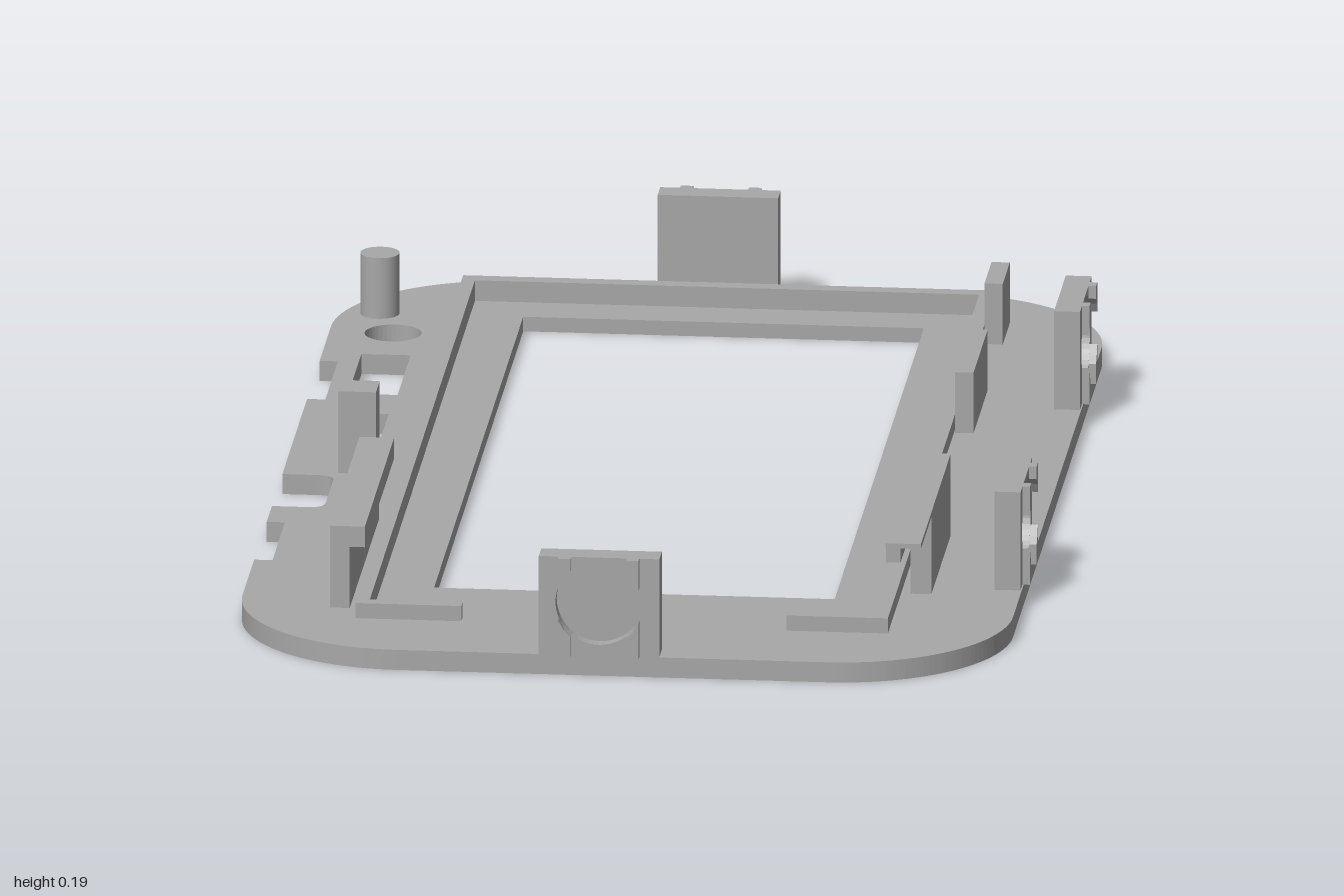
import * as THREE from 'three';

const grey = new THREE.MeshStandardMaterial({ color: 0xa8a8a8 });
grey.name = 'grey plastic';

const TOP = 0.033; // upper face of the plate

export function createModel() {
  const model = new THREE.Group();
  model.name = 'deviceBezel';

  const add = (name, geometry, parent = model) => {
    const mesh = new THREE.Mesh(geometry, grey);
    mesh.name = name;
    parent.add(mesh);
    return mesh;
  };

  // Box from its limits on each axis
  const block = (name, x0, x1, y0, y1, z0, z1, parent) => {
    const mesh = add(name, new THREE.BoxGeometry(x1 - x0, y1 - y0, z1 - z0), parent);
    mesh.position.set((x0 + x1) / 2, (y0 + y1) / 2, (z0 + z1) / 2);
    return mesh;
  };

  // Plate outlines are drawn in x and -z, then laid flat
  const rectHole = (x0, x1, z0, z1) => new THREE.Path([
    new THREE.Vector2(x0, -z0), new THREE.Vector2(x1, -z0),
    new THREE.Vector2(x1, -z1), new THREE.Vector2(x0, -z1),
  ]);
  const circleHole = (x, y, r) => new THREE.Path().absarc(x, y, r, 0, Math.PI * 2, true);

  const plateLayer = (name, y0, y1, opening) => {
    const L = -0.617, R = 0.604, E = 0.987, r = 0.27;
    const s = new THREE.Shape();
    s.moveTo(L + r, -E);
    s.lineTo(R - r, -E);
    s.absarc(R - r, -E + r, r, -Math.PI / 2, 0, false);
    s.lineTo(R, E - r);
    s.absarc(R - r, E - r, r, 0, Math.PI / 2, false);
    s.lineTo(L + r, E);
    s.absarc(L + r, E - r, r, Math.PI / 2, Math.PI, false);
    // side cut-outs, from the back to the front
    s.lineTo(L, 0.534); s.lineTo(-0.588, 0.534);
    s.lineTo(-0.588, 0.33); s.lineTo(L, 0.33);
    s.lineTo(L, -0.072); s.lineTo(-0.56, -0.072);
    s.quadraticCurveTo(-0.534, -0.072, -0.534, -0.098);
    s.lineTo(-0.534, -0.217);
    s.quadraticCurveTo(-0.534, -0.243, -0.56, -0.243);
    s.lineTo(L, -0.243);
    s.lineTo(L, -0.328); s.lineTo(-0.588, -0.328);
    s.lineTo(-0.588, -0.53); s.lineTo(L, -0.53);
    s.lineTo(L, -E + r);
    s.absarc(L + r, -E + r, r, Math.PI, Math.PI * 1.5, false);
    s.holes.push(
      opening,
      circleHole(-0.516, 0.693, 0.045),
      rectHole(-0.555, -0.477, -0.577, -0.365),
      rectHole(-0.545, -0.481, -0.262, -0.14),
    );
    const g = new THREE.ExtrudeGeometry(s, { depth: y1 - y0, bevelEnabled: false, curveSegments: 20 });
    g.rotateX(-Math.PI / 2);
    add(name, g).position.y = y0;
  };
  plateLayer('plate', 0, 0.024, rectHole(-0.323, 0.312, -0.828, 0.622));
  plateLayer('plateRim', 0.024, TOP, rectHole(-0.407, 0.392, -0.905, 0.804));

  // Low wall around the screen seat
  const wallTop = 0.058;
  block('seatWallRight', -0.428, -0.407, TOP, wallTop, -0.93, 0.825);
  block('seatWallLeft', 0.392, 0.416, TOP, wallTop, -0.93, 0.825);
  block('seatWallBack', -0.407, 0.392, TOP, wallTop, -0.93, -0.905);
  block('seatWallFrontRight', -0.407, -0.26, TOP, wallTop, 0.804, 0.825);
  block('seatWallFrontLeft', 0.255, 0.392, TOP, wallTop, 0.804, 0.825);

  // Tall retainers with an inward hook along the top
  block('rightRetainer', -0.473, -0.442, TOP, 0.168, 0.296, 0.772);
  block('rightRetainerHook', -0.442, -0.418, 0.134, 0.168, 0.296, 0.772);
  block('leftRetainer', 0.431, 0.464, TOP, 0.168, 0.296, 0.61);
  block('leftRetainerHook', 0.408, 0.431, 0.134, 0.16, 0.296, 0.772);
  block('leftRetainerLid', 0.408, 0.464, 0.16, 0.168, 0.296, 0.78);

  // Small supports and posts
  block('leftSupportBack', 0.418, 0.447, TOP, 0.133, -0.84, -0.725);
  block('leftSupportMiddle', 0.418, 0.447, TOP, 0.133, -0.48, -0.25);
  block('squarePost', -0.53, -0.47, TOP, 0.168, -0.003, 0.058);
  add('roundPost', new THREE.CylinderGeometry(0.031, 0.031, 0.1, 32))
    .position.set(-0.547, TOP + 0.05, -0.797);

  // Upright clip with a round recess and two ribs cut by it; its outer face is z = 0
  const makeClip = (name, x, z, turn) => {
    const clip = new THREE.Group();
    clip.name = name;
    const w = 0.0955, h = 0.195, cy = 0.12;
    const face = new THREE.Shape([
      new THREE.Vector2(-w, TOP), new THREE.Vector2(w, TOP),
      new THREE.Vector2(w, h), new THREE.Vector2(-w, h),
    ]);
    face.holes.push(circleHole(0, cy, 0.069));
    add('clipFace', new THREE.ExtrudeGeometry(face, { depth: 0.02, bevelEnabled: false, curveSegments: 24 }), clip)
      .position.z = -0.02;
    block('clipBack', -w, w, TOP, h, -0.041, -0.02, clip);
    for (const side of [-1, 1]) {
      for (const up of [-1, 1]) {
        const end = up > 0 ? h : TOP;
        const rib = new THREE.Shape([
          new THREE.Vector2(side * 0.044, end), new THREE.Vector2(side * 0.064, end),
          new THREE.Vector2(side * 0.064, cy + up * 0.027), new THREE.Vector2(side * 0.055, cy + up * 0.043),
          new THREE.Vector2(side * 0.044, cy + up * 0.054),
        ]);
        add('clipRib', new THREE.ExtrudeGeometry(rib, { depth: 0.012, bevelEnabled: false }), clip);
      }
    }
    clip.position.set(x, 0, z);
    clip.rotation.y = turn;
    model.add(clip);
  };
  makeClip('frontClip', -0.026, 0.987, 0);
  makeClip('backClip', -0.026, -0.987, Math.PI);
  for (const z of [-0.485, 0.481]) makeClip('leftClip', 0.602, z, Math.PI / 2);

  return model;
}
